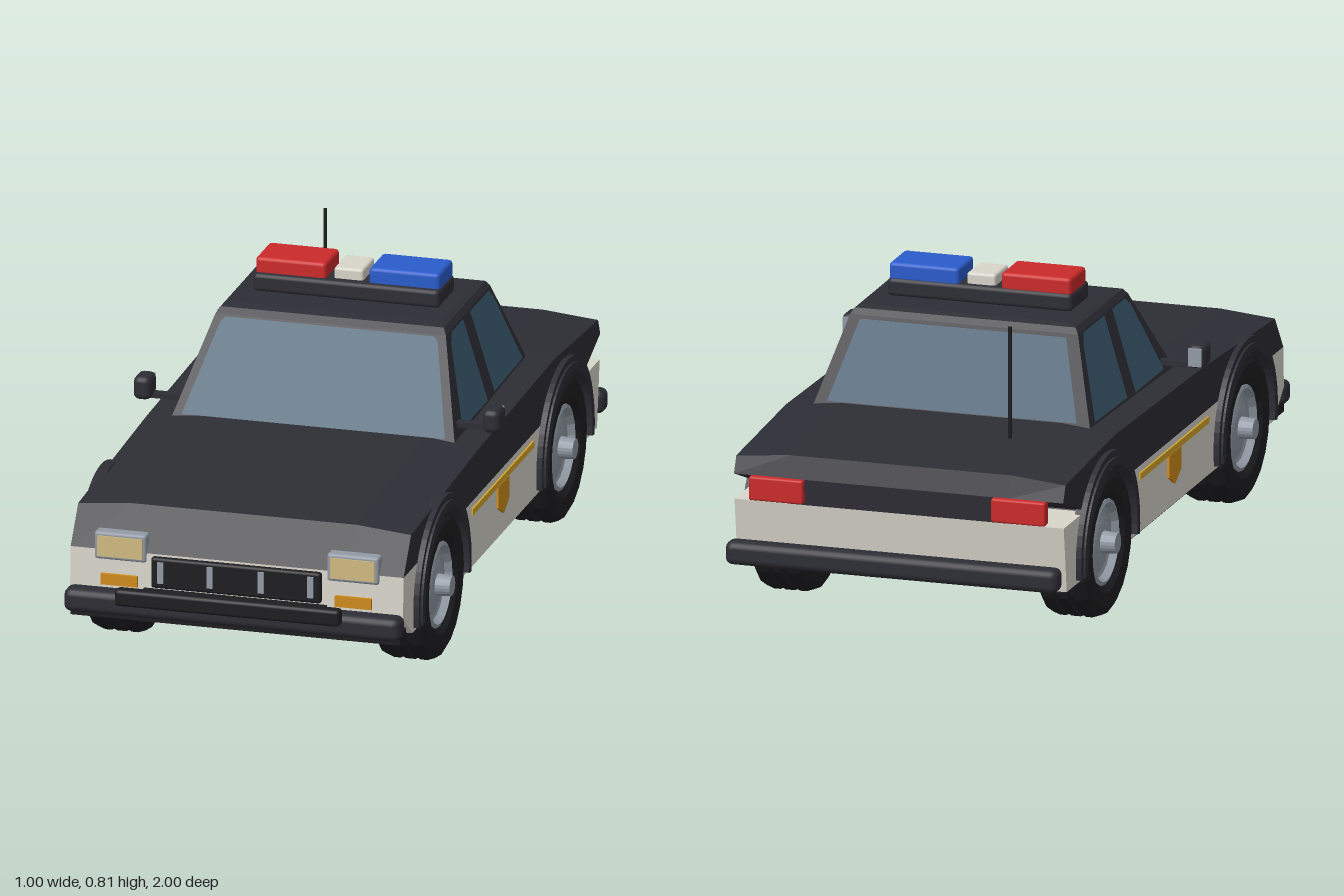
import * as THREE from 'three';
import { RoundedBoxGeometry } from 'three/addons/geometries/RoundedBoxGeometry.js';

const mat = (name, color, side = THREE.FrontSide) => {
  const m = new THREE.MeshStandardMaterial({ color, side });
  m.name = name;
  return m;
};

export function createModel() {
  const paint = mat('black paint', 0x2d2d35);
  const rubber = mat('rubber', 0x1e1e21);
  const cream = mat('cream paint', 0xd8d5ca);
  const glass = mat('glass', 0x3c5a70, THREE.DoubleSide);
  const chrome = mat('chrome', 0x929aa5);
  const red = mat('red lamp', 0xcc2a2a);
  const blue = mat('blue lamp', 0x2a5ccc);
  const amber = mat('amber', 0xd08c1c);
  const gold = mat('gold', 0xd6a62c);
  const lens = mat('headlight lens', 0xd0ba82);

  const model = new THREE.Group();
  model.name = 'patrolCar';

  const add = (name, geo, material, x = 0, y = 0, z = 0, parent = model) => {
    const mesh = new THREE.Mesh(geo, material);
    mesh.name = name;
    mesh.position.set(x, y, z);
    parent.add(mesh);
    return mesh;
  };
  const box = (name, m, w, h, d, x, y, z, r = 0) =>
    add(name, r ? new RoundedBoxGeometry(w, h, d, 2, r) : new THREE.BoxGeometry(w, h, d), m, x, y, z);
  const poly = (pts) => new THREE.Shape(pts.map(([a, b]) => new THREE.Vector2(a, b)));
  // Extrudes a (z, y) side profile across the car from x0 to x1
  const slab = (shapes, x0, x1) =>
    new THREE.ExtrudeGeometry(shapes, { depth: x1 - x0, bevelEnabled: false, curveSegments: 14 })
      .rotateY(-Math.PI / 2).translate(x1, 0, 0);
  const flat = (geo) => {
    const g = geo.index ? geo.toNonIndexed() : geo;
    g.computeVertexNormals();
    return g;
  };

  // Body profiles, with wheel arches cut into the outer slabs
  const FRONT = 0.565, REAR = -0.58, AXLE = 0.2, ARCH = 0.21, HALF = 0.455, INNER = 0.305;
  const hi = Math.asin(0.13 / ARCH), lo = Math.asin(-0.05 / ARCH), PI = Math.PI;
  const topLine = [[0.9, 0.33], [0.83, 0.44], [0.2, 0.47], [-0.5, 0.485], [-0.91, 0.458], [-0.93, 0.4], [-0.925, 0.33]];

  const upperSide = new THREE.Shape();
  upperSide.moveTo(-0.925, 0.33);
  for (const z of [REAR, FRONT]) upperSide.absarc(z, AXLE, ARCH, PI - hi, hi, true);
  for (const [z, y] of topLine.slice(0, -1)) upperSide.lineTo(z, y);

  const nose = new THREE.Shape();
  nose.absarc(FRONT, AXLE, ARCH, lo, hi, false);
  for (const [z, y] of [[0.9, 0.33], [0.905, 0.22], [0.82, 0.15]]) nose.lineTo(z, y);
  const sill = new THREE.Shape();
  sill.absarc(REAR, AXLE, ARCH, lo, hi, false);
  sill.absarc(FRONT, AXLE, ARCH, PI - hi, PI - lo, false);
  const tail = new THREE.Shape();
  tail.moveTo(-0.9, 0.15);
  tail.lineTo(-0.925, 0.33);
  tail.absarc(REAR, AXLE, ARCH, PI - hi, PI - lo, false);

  add('upperBodyCentre', slab(poly(topLine), -INNER, INNER), paint);
  add('lowerBodyCentre', slab(poly([[0.82, 0.15], [0.905, 0.22], [0.9, 0.33], [-0.925, 0.33], [-0.9, 0.15]]),
    -INNER, INNER), [paint, cream]);
  for (const s of [1, -1]) {
    const [x0, x1] = s > 0 ? [INNER, HALF] : [-HALF, -INNER];
    const upper = slab(upperSide, x0, x1), p = upper.attributes.position;
    // Shoulders drop slightly towards the outer edge
    for (let i = 0; i < p.count; i++)
      if (Math.abs(p.getX(i)) > 0.4 && p.getY(i) > 0.43) p.setY(i, p.getY(i) - 0.014);
    add('upperBodySide', flat(upper), paint);
    add('lowerBodySide', slab([nose, sill, tail], x0, x1), cream);
  }

  // Underbody
  box('floor', rubber, 2 * INNER, 0.008, 1.72, 0, 0.148, -0.04);
  box('floorMiddle', rubber, 0.9, 0.007, 0.71, 0, 0.148, -0.005);
  box('floorRear', rubber, 0.9, 0.007, 0.1, 0, 0.148, -0.845);

  // Arch liners and flares
  const arc = (z, r0, r1) => {
    const s = new THREE.Shape();
    s.absarc(z, AXLE, r1, -0.16, PI + 0.16, false);
    s.absarc(z, AXLE, r0, PI + 0.16, -0.16, true);
    return s;
  };
  // Tyre and rim profiles: radius, offset along the axle
  const lathe = (pts) => flat(new THREE.LatheGeometry(pts.map(([r, y]) => new THREE.Vector2(r, y)), 20));
  const tyreGeo = lathe([[0.112, -0.055], [0.135, -0.07], [0.175, -0.075], [0.193, -0.065], [0.2, -0.045],
    [0.2, -0.027], [0.19, -0.024], [0.19, -0.016], [0.2, -0.013], [0.2, 0.013], [0.19, 0.016], [0.19, 0.024],
    [0.2, 0.027], [0.2, 0.045], [0.193, 0.065], [0.175, 0.075], [0.135, 0.07], [0.112, 0.055]]);
  const rimGeo = lathe([[0, -0.05], [0.115, -0.05], [0.116, 0.06], [0.106, 0.064], [0.096, 0.045],
    [0.085, 0.042], [0.05, 0.052], [0.03, 0.055], [0.027, 0.095], [0, 0.095]]);

  for (const s of [1, -1]) {
    for (const z of [FRONT, REAR]) {
      const span = (a, b) => (s > 0 ? [a, b] : [-b, -a]);
      add('archLiner', slab(arc(z, 0.206, 0.218), ...span(INNER, 0.46)), paint);
      add('archFlare', slab(arc(z, 0.206, 0.245), ...span(0.44, 0.47)), paint);
      add('archLip', slab(arc(z, 0.206, 0.228), ...span(0.46, 0.476)), paint);
      const wheel = new THREE.Group();
      wheel.name = 'wheel';
      wheel.position.set(s * 0.395, AXLE, z);
      wheel.rotation.z = -s * PI / 2;
      add('tyre', tyreGeo, rubber, 0, 0, 0, wheel);
      add('rim', rimGeo, chrome, 0, 0, 0, wheel);
      model.add(wheel);
    }
  }

  // Cabin lofted from rings: y, half width, front z, back z
  const rings = [[0.45, 0.39, 0.2, -0.5], [0.7, 0.315, 0.03, -0.385], [0.716, 0.305, 0.015, -0.375], [0.722, 0.285, -0.01, -0.355]]
    .map(([y, w, f, b]) => [[w, y, f], [w, y, b], [-w, y, b], [-w, y, f]]);
  const verts = [];
  const quad = (a, b, c, d) => verts.push(...a, ...b, ...c, ...a, ...c, ...d);
  for (let i = 0; i < 3; i++)
    for (let j = 0; j < 4; j++) {
      const k = (j + 1) % 4;
      quad(rings[i][j], rings[i][k], rings[i + 1][k], rings[i + 1][j]);
    }
  quad(...rings[3]);
  const cabin = new THREE.BufferGeometry();
  cabin.setAttribute('position', new THREE.Float32BufferAttribute(verts, 3));
  cabin.computeVertexNormals();
  add('cabin', cabin, paint);

  // Windows: flat outlines laid onto the sloping cabin faces
  const pane = (name, pts, place) => {
    const g = new THREE.ShapeGeometry(poly(pts)), p = g.attributes.position;
    for (let i = 0; i < p.count; i++)
      p.setXYZ(i, ...place(p.getX(i), p.getY(i), (p.getY(i) - 0.45) / 0.25));
    g.computeVertexNormals();
    add(name, g, glass);
  };
  pane('windshield', [[-0.36, 0.47], [0.36, 0.47], [0.297, 0.685], [0.285, 0.697], [-0.285, 0.697], [-0.297, 0.685]],
    (x, y, k) => [x, y, 0.205 - 0.17 * k]);
  pane('rearWindow', [[0.345, 0.488], [-0.345, 0.488], [-0.285, 0.692], [0.285, 0.692]],
    (x, y, k) => [x, y, -0.505 + 0.115 * k]);
  for (const s of [1, -1]) {
    const side = (z, y, k) => [s * (0.394 - 0.075 * k), y, z];
    const frontPts = [[0.115, 0.477], [-0.12, 0.477], [-0.115, 0.698], [-0.01, 0.698], [0.02, 0.675]];
    const rearPts = [[-0.185, 0.48], [-0.45, 0.485], [-0.375, 0.675], [-0.355, 0.698], [-0.18, 0.698]];
    // The double-sided panes need outward winding on both sides
    pane('frontSideWindow', s > 0 ? frontPts : [...frontPts].reverse(), side);
    pane('rearSideWindow', s > 0 ? rearPts : [...rearPts].reverse(), side);
  }
  model.children.filter((m) => m.material === glass && m.name.endsWith('SideWindow')).forEach((m) => {
    // ShapeGeometry always winds one way, so flip the faces on the +x side
    const ix = m.geometry.index;
    if (m.geometry.attributes.position.getX(0) > 0)
      for (let i = 0; i < ix.count; i += 3) {
        const t = ix.getX(i);
        ix.setX(i, ix.getX(i + 1));
        ix.setX(i + 1, t);
      }
    m.geometry.computeVertexNormals();
  });
  const rw = model.getObjectByName('rearWindow').geometry;
  rw.setIndex([...rw.index.array].reverse());
  rw.computeVertexNormals();

  // Roof light bar
  box('lightBarBase', paint, 0.51, 0.05, 0.15, 0, 0.745, -0.185, 0.012);
  box('redBeacon', red, 0.193, 0.05, 0.13, -0.155, 0.786, -0.19, 0.01);
  box('blueBeacon', blue, 0.193, 0.05, 0.13, 0.155, 0.786, -0.19, 0.01);
  box('centreBeacon', cream, 0.08, 0.04, 0.11, 0, 0.78, -0.19, 0.008);

  // Bumpers, push bar and grille
  box('frontBumper', paint, 0.92, 0.064, 0.064, 0, 0.198, 0.928, 0.02);
  box('frontChin', rubber, 0.9, 0.03, 0.06, 0, 0.163, 0.89);
  box('rearBumper', paint, 0.92, 0.064, 0.06, 0, 0.2, -0.97, 0.02);
  box('rearBumperMount', rubber, 0.5, 0.03, 0.06, 0, 0.2, -0.92);
  box('pushBar', rubber, 0.615, 0.046, 0.036, 0, 0.232, 0.98, 0.01);
  box('pushBarMount', rubber, 0.5, 0.03, 0.06, 0, 0.225, 0.945);
  box('grille', rubber, 0.465, 0.085, 0.03, 0, 0.282, 0.9, 0.008);
  for (const x of [-0.205, -0.07, 0.07, 0.205]) box('grilleBar', chrome, 0.016, 0.058, 0.012, x, 0.285, 0.915);

  for (const s of [1, -1]) {
    // Lamps
    box('headlightFrame', chrome, 0.142, 0.076, 0.04, s * 0.318, 0.342, 0.888, 0.008);
    box('headlightLens', lens, 0.122, 0.056, 0.008, s * 0.318, 0.342, 0.908);
    box('turnSignal', amber, 0.1, 0.03, 0.02, s * 0.32, 0.251, 0.902);
    box('tailLight', red, 0.15, 0.065, 0.03, s * 0.335, 0.368, -0.932, 0.006);
    // Side stripe and shield-shaped badge
    box('sideStripe', gold, 0.008, 0.018, 0.57, s * 0.456, 0.303, -0.015);
    const shield = poly([[0.035, 0.295], [-0.065, 0.295], [-0.065, 0.235], [-0.015, 0.207], [0.035, 0.235]]);
    add('sideBadge', slab(shield, s * 0.457 - 0.004, s * 0.457 + 0.004), amber);
    // Door mirrors
    box('mirrorArm', paint, 0.1, 0.014, 0.025, s * 0.425, 0.494, 0.125);
    box('mirrorHousing', paint, 0.048, 0.064, 0.07, s * 0.477, 0.52, 0.135, 0.016);
    box('mirrorGlass', chrome, 0.036, 0.048, 0.008, s * 0.477, 0.52, 0.099);
  }

  // Antenna
  add('antenna', new THREE.CylinderGeometry(0.005, 0.005, 0.31, 8), rubber, -0.21, 0.625, -0.635);

  return model;
}
